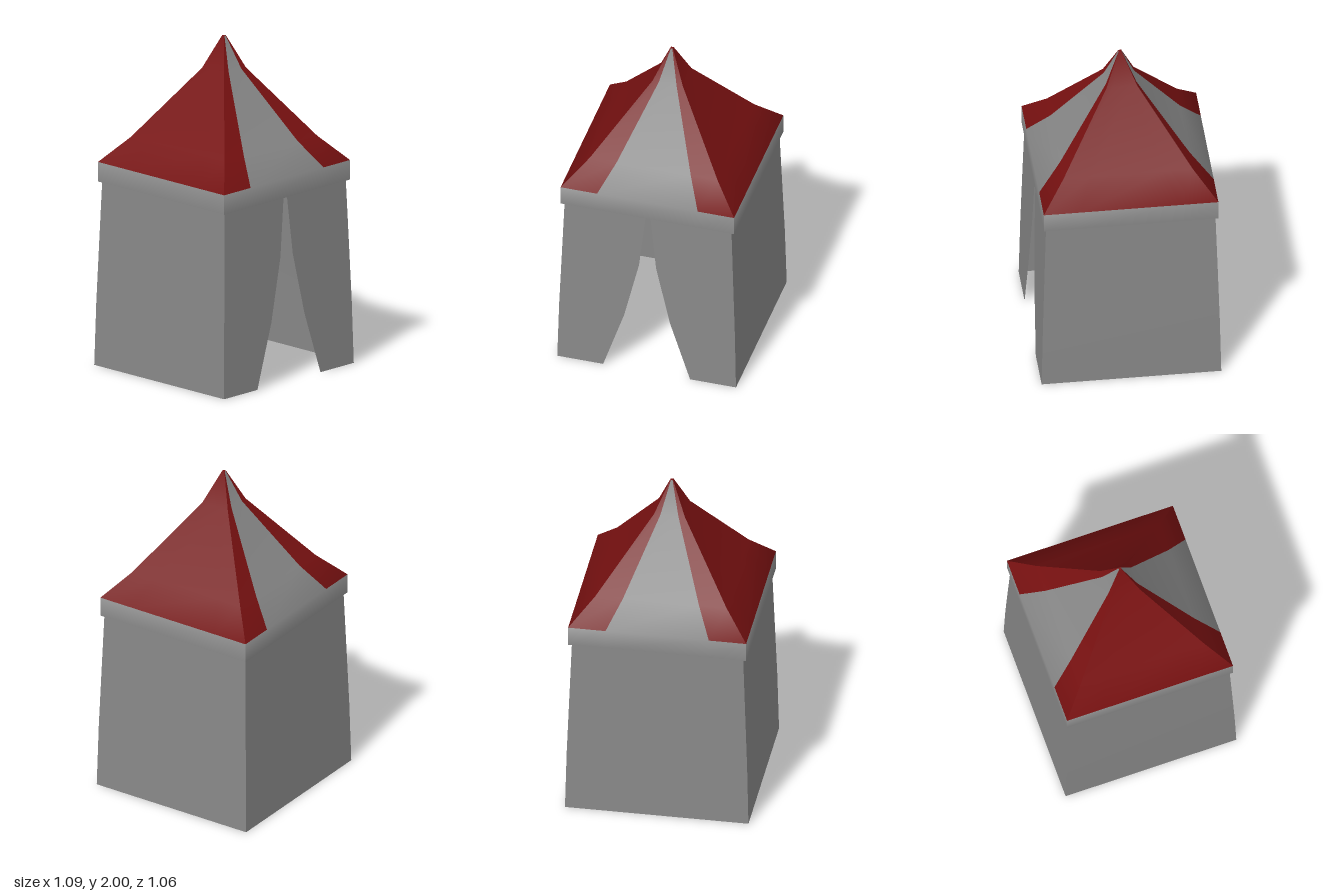
import * as THREE from 'three';

const canvas = new THREE.MeshStandardMaterial({ color: 0x888888, side: THREE.DoubleSide });
const red = new THREE.MeshStandardMaterial({ color: 0x781111, side: THREE.DoubleSide });

// Cross-section levels from bottom to top: [half width, half depth, height]
const WALL = [[0.545, 0.53, 0], [0.536, 0.522, 0.38], [0.522, 0.511, 0.76], [0.509, 0.5, 1.116]];
const ROOF = [[0.529, 0.515, 1.116], [0.529, 0.515, 1.235], [0.39, 0.382, 1.385], [0.092, 0.09, 1.803], [0.008, 0.008, 2]];
const DOOR = [0.265, 0.14, 0.052, 0.014]; // half opening at each wall level
const STRIPE = 0.58; // share of the roof front taken by the pale stripe

// Point on one of four sides (0 front, 1 left, 2 back, 3 right); t runs -1..1 across it
function sidePoint([hx, hz, y], side, t) {
  return [
    [t * hx, y, hz],
    [hx, y, -t * hz],
    [-t * hx, y, -hz],
    [-hx, y, t * hz],
  ][side];
}

// Smooth strip of cloth over all levels; isRed picks the colour of each cell
function panel(name, levels, side, columns, isRed = () => false) {
  const positions = [];
  levels.forEach((level, r) => columns(r).forEach((t) => positions.push(...sidePoint(level, side, t))));
  const n = columns(0).length;
  const cells = [[], []];
  for (let r = 0; r < levels.length - 1; r++) {
    for (let c = 0; c < n - 1; c++) {
      const a = r * n + c;
      cells[isRed(r, c) ? 1 : 0].push(a, a + 1, a + n + 1, a, a + n + 1, a + n);
    }
  }
  const geometry = new THREE.BufferGeometry();
  geometry.setAttribute('position', new THREE.Float32BufferAttribute(positions, 3));
  geometry.setIndex(cells.flat());
  geometry.addGroup(0, cells[0].length, 0);
  geometry.addGroup(cells[0].length, cells[1].length, 1);
  geometry.computeVertexNormals();
  const mesh = new THREE.Mesh(geometry, [canvas, red]);
  mesh.name = name;
  return mesh;
}

// Horizontal rectangle closing the roof
function cap(name, [hx, hz, y], facing) {
  const mesh = new THREE.Mesh(new THREE.PlaneGeometry(2 * hx, 2 * hz), red);
  mesh.rotation.x = (-facing * Math.PI) / 2;
  mesh.position.y = y;
  mesh.name = name;
  return mesh;
}

export function createModel() {
  const tent = new THREE.Group();
  tent.name = 'tent';
  const names = ['front', 'left', 'back', 'right'];

  // Plain walls on three sides
  for (let side = 1; side < 4; side++) {
    tent.add(panel(names[side] + 'Wall', WALL, side, () => [-1, 1]));
  }

  // Two front flaps parted at the entrance
  const gap = (r) => DOOR[r] / WALL[r][0];
  tent.add(panel('rightFlap', WALL, 0, (r) => [-1, -gap(r)]));
  tent.add(panel('leftFlap', WALL, 0, (r) => [gap(r), 1]));

  // Roof with its valance; front and back carry a pale middle stripe
  for (let side = 0; side < 4; side++) {
    const striped = side % 2 === 0;
    tent.add(panel(names[side] + 'Roof', ROOF, side,
      () => [-1, -STRIPE, STRIPE, 1],
      (r, c) => r > 0 && !(striped && c === 1)));
  }
  tent.add(cap('roofUnderside', ROOF[0], -1));
  tent.add(cap('roofTip', ROOF[ROOF.length - 1], 1));

  return tent;
}
